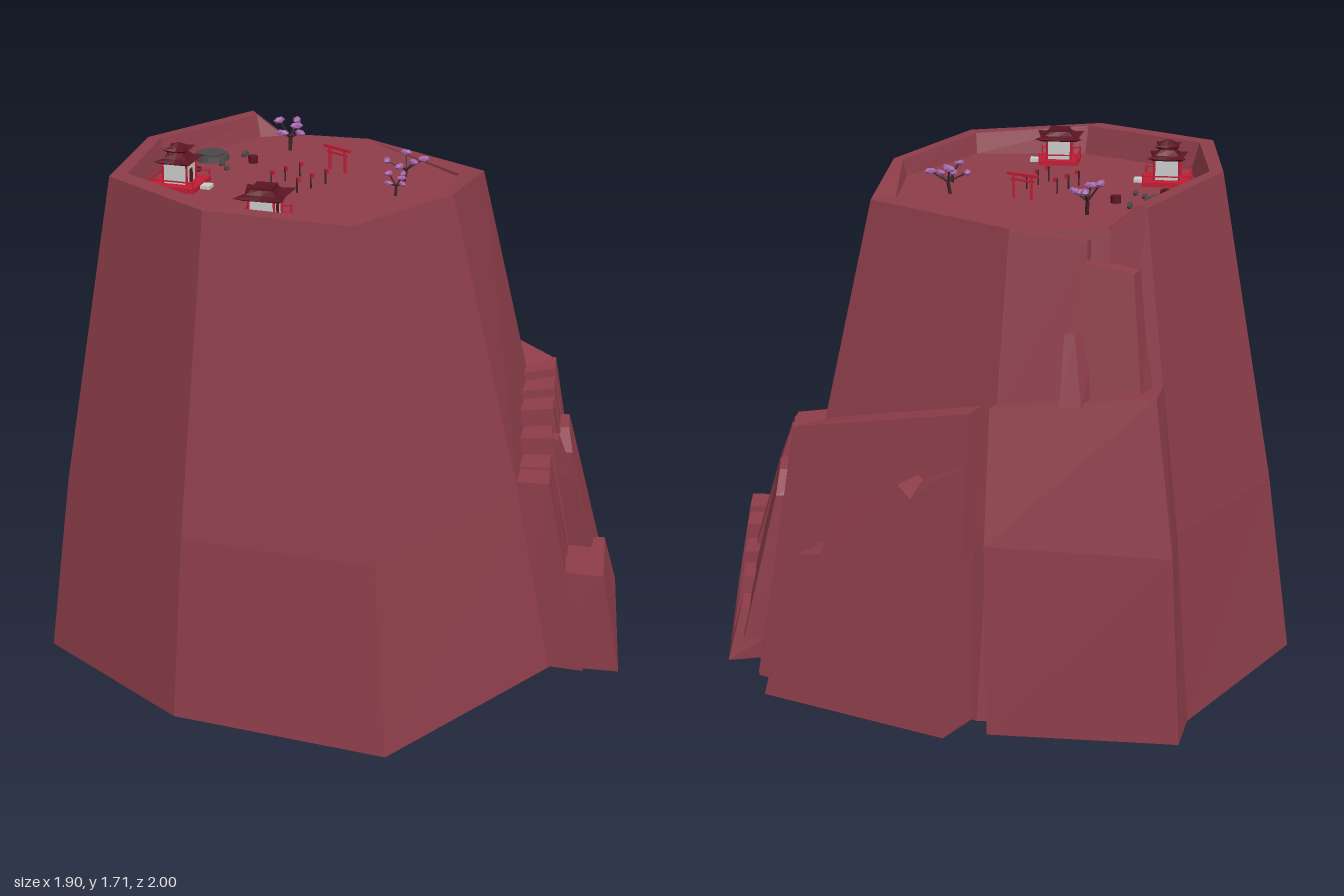
import * as THREE from 'three';

const FLOOR = 1.565;
const mat = (color, side = THREE.FrontSide) =>
  new THREE.MeshStandardMaterial({ color, flatShading: true, side });
const M = {
  rock: mat(0x8c3d49, THREE.DoubleSide), roof: mat(0x5a1422, THREE.DoubleSide), red: mat(0xc01c34),
  wall: mat(0xcccccc), stone: mat(0x4c4646), wood: mat(0x3a2228), blossom: mat(0xa565a8),
};

function add(parent, name, geometry, material, x = 0, y = 0, z = 0) {
  const mesh = new THREE.Mesh(geometry, material);
  mesh.name = name;
  mesh.position.set(x, y, z);
  parent.add(mesh);
  return mesh;
}
const box = (w, h, d) => new THREE.BoxGeometry(w, h, d);
const rod = (r, h, n = 6, r2 = r) => new THREE.CylinderGeometry(r2, r, h, n);

// Skin rings of [x, y, z] points (left, front, right, back order), closing the last ring
function loft(rings) {
  const pos = [];
  const n = rings[0].length;
  const tri = (...p) => p.forEach((v) => pos.push(...v));
  for (let k = 0; k + 1 < rings.length; k++) {
    for (let i = 0; i < n; i++) {
      const j = (i + 1) % n, a = rings[k], b = rings[k + 1];
      tri(a[i], a[j], b[j]);
      tri(a[i], b[j], b[i]);
    }
  }
  const top = rings[rings.length - 1];
  const c = [0, 1, 2].map((q) => top.reduce((s, p) => s + p[q], 0) / n);
  top.forEach((p, i) => tri(p, top[(i + 1) % n], c));
  const g = new THREE.BufferGeometry();
  g.setAttribute('position', new THREE.Float32BufferAttribute(pos, 3));
  g.computeVertexNormals();
  return g;
}
const level = (y, pts) => pts.map(([x, z]) => [x, y, z]);
const lerp = (a, b, t) => a.map((v, i) => v + (b[i] - v) * t);

// Row of stepped rock slices between a base strip and a top strip
function steppedRock(parent, name, base, top, heights) {
  heights.forEach((h, k) => {
    const t0 = k / heights.length, t1 = (k + 1) / heights.length;
    const ring = (s, y) => level(y, [lerp(s.in[0], s.in[1], t0), lerp(s.out[0], s.out[1], t0),
      lerp(s.out[0], s.out[1], t1), lerp(s.in[0], s.in[1], t1)]);
    add(parent, name, loft([ring(base, 0), ring(top, h)]), M.rock);
  });
}

function buildCliff(g) {
  // Hollow mesa with a raised rim and sunken floor, low on the right
  const base = [[-0.36, -0.94], [-0.91, -0.54], [-0.95, 0.12], [-0.66, 0.79], [0.14, 0.81],
    [0.7, 0.43], [0.72, -0.38], [0.5, -0.72], [0.34, -0.94]];
  const top = [[-0.27, -0.68], [-0.67, -0.42], [-0.71, 0.06], [-0.45, 0.45], [0.04, 0.43],
    [0.42, 0.24], [0.46, -0.33], [0.3, -0.6], [0.25, -0.7]];
  const inner = [[-0.25, -0.64], [-0.61, -0.4], [-0.64, 0.07], [-0.41, 0.4], [0.035, 0.395],
    [0.335, 0.2], [0.45, -0.32], [0.28, -0.58], [0.22, -0.65]];
  const rimY = [1.655, 1.66, 1.66, 1.635, 1.62, 1.575, FLOOR, FLOOR, 1.64];
  const mid = base.map((p, i) => lerp(p, top[i], 0.35).map((v) => v * 1.012));
  const atRim = (pts) => pts.map(([x, z], i) => [x, rimY[i], z]);
  add(g, 'mesa', loft([level(0, base), level(0.61, mid), atRim(top), atRim(inner),
    level(FLOOR, inner.map(([x, z], i) => (i > 4 && i < 8 ? [x, z] : [x * 0.96, z * 0.96])))]), M.rock);

  // Back right buttress and the ledges above it
  add(g, 'backButtress', loft([
    level(0, [[0.34, -0.94], [0.5, -0.34], [0.78, -0.46], [0.5, -1]]),
    level(0.61, [[0.31, -0.87], [0.48, -0.33], [0.72, -0.41], [0.48, -0.95]]),
    [[0.28, 1.09, -0.79], [0.42, 1.03, -0.32], [0.6, 1.02, -0.35], [0.41, 1.09, -0.84]],
  ]), M.rock);
  add(g, 'upperLedge', loft([
    level(1, [[0.25, -0.6], [0.4, -0.3], [0.57, -0.36], [0.46, -0.62]]),
    [[0.22, 1.54, -0.52], [0.38, 1.56, -0.31], [0.475, 1.56, -0.345], [0.37, 1.54, -0.56]],
  ]), M.rock);
  add(g, 'upperLedge', loft([
    level(1, [[0.24, -0.78], [0.3, -0.5], [0.5, -0.56], [0.39, -0.78]]),
    [[0.22, 1.45, -0.69], [0.28, 1.48, -0.5], [0.41, 1.48, -0.58], [0.34, 1.45, -0.71]],
  ]), M.rock);
  add(g, 'upperRib', loft([
    level(1.05, [[0.4, -0.63], [0.4, -0.55], [0.54, -0.57], [0.51, -0.63]]),
    level(1.27, [[0.36, -0.6], [0.36, -0.54], [0.49, -0.555], [0.47, -0.58]]),
  ]), M.rock);

  // Right buttress
  add(g, 'rightButtress', loft([
    level(0, [[0.5, -0.33], [0.5, 0.38], [0.85, 0.42], [0.8, -0.34]]),
    [[0.45, 1.02, -0.29], [0.45, 0.85, 0.3], [0.69, 0.85, 0.36], [0.63, 1, -0.295]],
  ]), M.rock);
  // Jagged outer slab, its face leaning inwards
  const outline = [[0.31, 0], [0.22, 0.49], [0.13, 0.51], [0.03, 0.69], [-0.13, 0.78], [-0.18, 0.74],
    [-0.21, 0.8], [-0.29, 0.83], [-0.36, 0]];
  const slab = new THREE.ExtrudeGeometry(new THREE.Shape(outline.map((p) => new THREE.Vector2(...p))),
    { depth: 0.22, bevelEnabled: false, steps: 1 });
  const p = slab.attributes.position;
  for (let i = 0; i < p.count; i++) {
    const z = p.getX(i), y = p.getY(i), w = p.getZ(i);
    p.setXYZ(i, 0.95 - 0.1 * y - 0.06 * y * y - 0.107 * (0.3 - z) - w, y, z);
  }
  slab.computeVertexNormals();
  add(g, 'outerSlab', slab, M.rock);

  // Front right stepped rocks
  steppedRock(g, 'frontRock',
    { in: [[0.1, 0.72], [0.55, 0.3]], out: [[0.2, 0.91], [0.84, 0.43]] },
    { in: [[0.07, 0.61], [0.55, 0.3]], out: [[0.17, 0.76], [0.7, 0.36]] },
    [0.66, 0.67, 0.73, 0.79, 0.82, 0.85]);
  steppedRock(g, 'frontFoot',
    { in: [[0.12, 0.76], [0.6, 0.36]], out: [[0.28, 1], [0.82, 0.58]] },
    { in: [[0.12, 0.7], [0.6, 0.36]], out: [[0.25, 0.94], [0.77, 0.56]] },
    [0.35, 0.33, 0.28, 0.24, 0.18]);
  add(g, 'frontRib', loft([
    level(0.1, [[0.48, 0.5], [0.56, 0.71], [0.83, 0.5], [0.7, 0.36]]),
    level(0.6, [[0.46, 0.45], [0.53, 0.58], [0.72, 0.43], [0.64, 0.34]]),
    level(0.67, [[0.48, 0.43], [0.57, 0.53], [0.66, 0.46], [0.6, 0.36]]),
  ]), M.rock);
  add(g, 'frontRib', loft([
    level(0.2, [[0.38, 0.6], [0.44, 0.79], [0.49, 0.75], [0.45, 0.55]]),
    level(0.58, [[0.32, 0.56], [0.4, 0.68], [0.45, 0.64], [0.4, 0.5]]),
    level(0.72, [[0.32, 0.52], [0.37, 0.64], [0.41, 0.61], [0.38, 0.48]]),
  ]), M.rock);
}

// Square roof with drawn-in sides and upturned corners
function roofGeometry(half, h, tip) {
  const ring = (r, y, lift, pull) => {
    const q = r * pull;
    return [[-r, y + lift, -r], [-q, y, 0], [-r, y + lift, r], [0, y, q],
      [r, y + lift, r], [q, y, 0], [r, y + lift, -r], [0, y, -q]];
  };
  return loft([ring(half * 0.7, -0.004, 0, 1), ring(half, 0, 0.008, 0.82), ring(half * 0.6, h * 0.4, 0.002, 0.92),
    ring(tip, h, 0, 1)]);
}

function shrine(name, x, z, angle, deck, half, twoTier) {
  const g = new THREE.Group();
  g.name = name;
  g.position.set(x, FLOOR, z);
  g.rotation.y = angle;
  add(g, 'deck', box(deck, 0.016, deck), M.red, 0, 0.008, 0);
  add(g, 'walls', box(0.08, 0.07, 0.08), M.wall, 0, 0.05, 0);
  add(g, 'door', box(0.022, 0.045, 0.004), M.roof, 0, 0.04, 0.041);
  add(g, 'steps', box(0.04, 0.012, 0.035), M.wall, 0, 0.006, deck / 2 + 0.015);
  for (const sx of [-1, 1]) {
    for (const sz of [-1, 1]) {
      add(g, 'post', rod(0.004, 0.07), M.red, sx * 0.042, 0.05, sz * 0.042);
      add(g, 'railPost', rod(0.003, 0.03), M.red, sx * deck * 0.48, 0.027, sz * deck * 0.48);
    }
    add(g, 'sideRail', box(0.004, 0.004, deck), M.red, sx * deck * 0.48, 0.036, 0);
  }
  add(g, 'backRail', box(deck, 0.004, 0.004), M.red, 0, 0.036, -deck * 0.48);
  add(g, 'roof', roofGeometry(half, 0.028, half * 0.38), M.roof, 0, 0.086, 0);
  if (twoTier) {
    add(g, 'upperWalls', box(0.045, 0.022, 0.045), M.red, 0, 0.116, 0);
    add(g, 'upperRoof', roofGeometry(half * 0.65, 0.024, 0.004), M.roof, 0, 0.123, 0);
  } else {
    add(g, 'roofCap', box(half * 0.85, 0.008, half * 0.85), M.roof, 0, 0.116, 0);
  }
  return g;
}

// Leaning trunk with flattened blossom clumps
function tree(x, z, size, angle) {
  const g = new THREE.Group();
  g.name = 'blossomTree';
  g.position.set(x, FLOOR, z);
  g.rotation.y = angle;
  g.scale.setScalar(size);
  const clumps = [[0.065, 0.078, 0.01], [-0.055, 0.07, -0.012], [0.012, 0.09, -0.035], [-0.02, 0.062, 0.035], [0.03, 0.07, 0.015]];
  const fork = new THREE.Vector3(0.008, 0.04, 0);
  const limb = (a, b, r) => add(g, 'branch', new THREE.TubeGeometry(new THREE.LineCurve3(a, b), 1, r, 5), M.wood);
  limb(new THREE.Vector3(), fork, 0.006);
  clumps.forEach((c, i) => {
    limb(fork, new THREE.Vector3(...c), 0.003);
    const leaf = add(g, 'blossom', new THREE.IcosahedronGeometry(0.02, 0), M.blossom, ...c);
    leaf.scale.set(1.1, 0.55, 0.65);
    leaf.rotation.y = i * 1.3;
  });
  return g;
}

export function createModel() {
  const model = new THREE.Group();
  model.name = 'mesaWithShrines';
  buildCliff(model);
  model.add(shrine('backShrine', -0.375, -0.41, 0.45, 0.16, 0.065, true));
  model.add(shrine('leftShrine', -0.45, 0.07, 0.5, 0.14, 0.082, false));
  model.add(tree(0.165, -0.43, 1.15, 0.6), tree(0.17, 0.1, 1, -0.7), tree(0.03, 0.19, 0.8, 0.4));

  // Round stone stage
  add(model, 'stage', rod(0.064, 0.018, 20, 0.06), M.stone, -0.09, FLOOR + 0.009, -0.56);
  add(model, 'stageTop', rod(0.048, 0.006, 20), M.stone, -0.09, FLOOR + 0.021, -0.56);
  // Lantern posts along the path
  for (const x of [-0.165, -0.1, -0.03]) {
    for (const z of [-0.19, -0.07]) {
      add(model, 'lanternPost', rod(0.003, 0.05), M.wood, x, FLOOR + 0.025, z);
      add(model, 'lantern', box(0.009, 0.014, 0.009), M.red, x, FLOOR + 0.045, z + 0.008);
    }
  }
  // Gate
  for (const z of [-0.175, -0.105]) add(model, 'gatePost', rod(0.005, 0.08), M.red, 0.1, FLOOR + 0.04, z);
  add(model, 'gateBeam', box(0.01, 0.008, 0.12), M.red, 0.1, FLOOR + 0.08, -0.14);
  add(model, 'gateCrossbar', box(0.007, 0.006, 0.09), M.red, 0.1, FLOOR + 0.062, -0.14);
  // Drum, bench and small stones near the stage
  add(model, 'drum', rod(0.017, 0.024, 10), M.roof, -0.025, FLOOR + 0.012, -0.42);
  add(model, 'bench', box(0.03, 0.014, 0.018), M.roof, -0.23, FLOOR + 0.007, -0.485);
  for (const [x, z] of [[-0.125, -0.47], [-0.15, -0.42], [0, -0.49], [0.02, -0.5]]) {
    add(model, 'stone', new THREE.DodecahedronGeometry(0.011), M.stone, x, FLOOR + 0.008, z);
  }
  return model;
}
